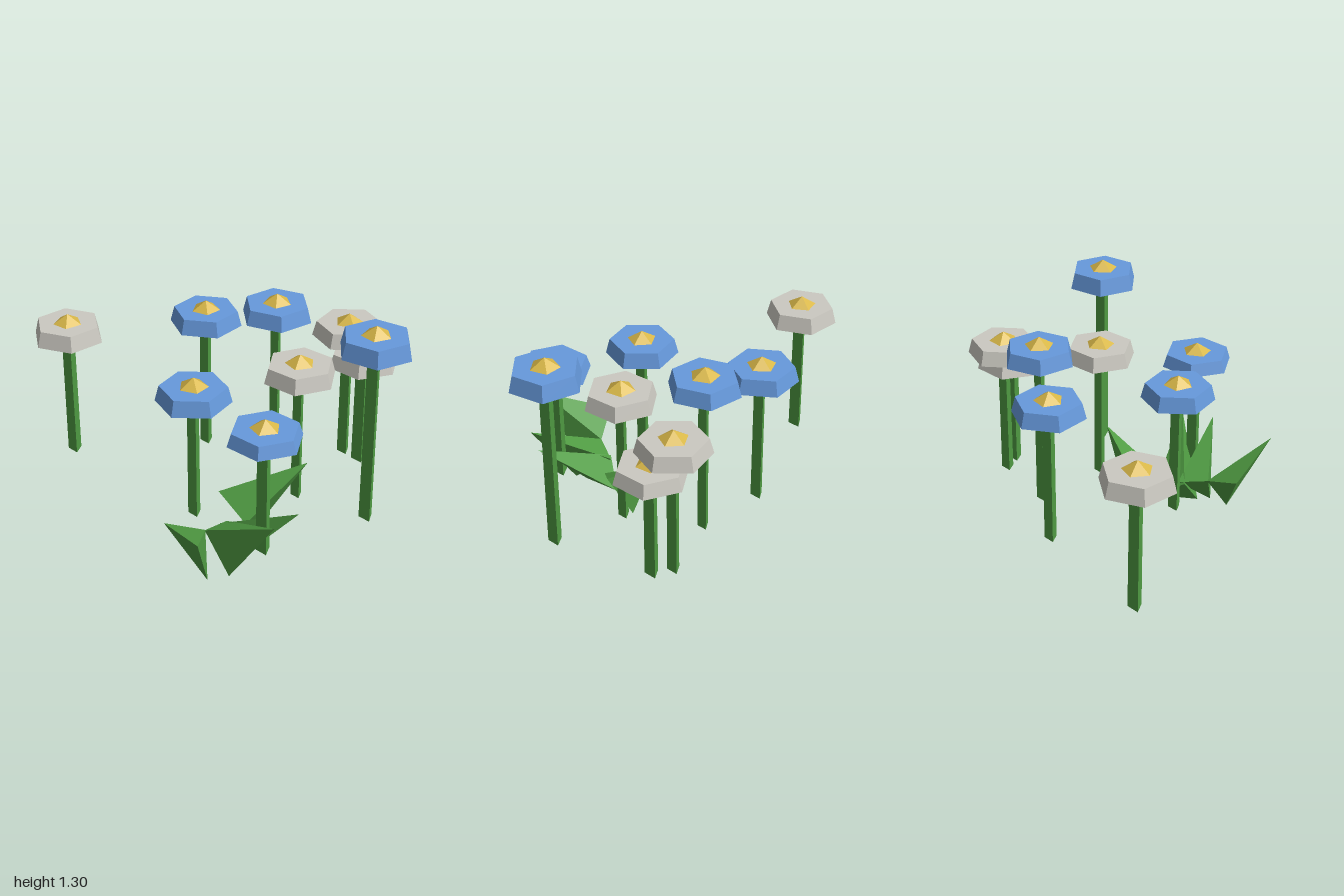
import * as THREE from 'three';
import { ConvexGeometry } from 'three/addons/geometries/ConvexGeometry.js';

function flat(name, color) {
  const m = new THREE.MeshStandardMaterial({ color, flatShading: true });
  m.name = name;
  return m;
}

const STEM_BASE = 0.165;

// x, z, disc bottom, disc top, petal colour, turn in degrees, stem radius
const FLOWERS = [
  [-0.42, -0.82, 0.88, 0.968, 'white', 25, 0.042],
  [0.17, -0.355, 0.92, 1.005, 'blue', 34, 0.038],
  [0.34, 0.015, 1.03, 1.113, 'blue', 20, 0.034],
  [-0.39, 0.125, 0.85, 0.935, 'blue', 42, 0.038],
  [0.115, 0.39, 0.89, 0.973, 'white', 5, 0.034],
  [0.635, 0.275, 0.9, 0.982, 'white', 41, 0.038],
  [0.63, 0.39, 0.778, 0.855, 'white', 2, 0.042],
  [-0.38, 0.615, 0.823, 0.893, 'blue', 3, 0.042],
  [0.216, 0.795, 1.156, 1.246, 'blue', 12, 0.042],
];

// Each leaf: tip, two shoulder corners, root
const LEAVES = [
  [[-0.83, 0.415, 0.6], [-0.71, 0.31, 0.23], [-0.525, 0.23, 0.34], [-0.62, 0.02, 0.45]],
  [[-0.46, 0.41, 0.76], [-0.53, 0.23, 0.34], [-0.36, 0.2, 0.33], [-0.515, 0.015, 0.5]],
  [[-0.28, 0.41, 0.76], [-0.4, 0.2, 0.32], [-0.21, 0.085, 0.34], [-0.45, 0.03, 0.45]],
  [[0.1, 0.415, 0.475], [-0.21, 0.215, 0.12], [-0.28, 0.17, 0.39], [-0.09, 0.0, 0.285]],
];

export function createModel() {
  const model = new THREE.Group();
  model.name = 'flowerPatch';
  const petals = {
    white: flat('petalWhite', 0xcbc9c1),
    blue: flat('petalBlue', 0x6699dc),
  };
  const yellow = flat('centreYellow', 0xd8b748);
  const green = flat('leafGreen', 0x509c43);

  const add = (parent, name, geometry, material, y = 0, turn = 0) => {
    const mesh = new THREE.Mesh(geometry, material);
    mesh.name = name;
    mesh.position.y = y;
    mesh.rotation.y = turn;
    parent.add(mesh);
  };

  for (const [x, z, bottom, top, colour, degrees, r] of FLOWERS) {
    const flower = new THREE.Group();
    flower.name = colour + 'Flower';
    flower.position.set(x, 0, z);
    const turn = THREE.MathUtils.degToRad(degrees);

    // Three-sided stem
    const length = bottom - STEM_BASE;
    add(flower, 'stem', new THREE.CylinderGeometry(r * 0.95, r, length, 3), green,
      STEM_BASE + length / 2, Math.PI / 2);

    // Six-sided petal disc, wider below
    add(flower, 'petals', new THREE.CylinderGeometry(0.176, 0.198, top - bottom, 6),
      petals[colour], (top + bottom) / 2, turn);

    // Five-sided raised centre
    add(flower, 'centre', new THREE.ConeGeometry(0.079, 0.05, 5), yellow, top + 0.025, turn);
    model.add(flower);
  }

  // Faceted leaves
  for (const corners of LEAVES) {
    add(model, 'leaf', new ConvexGeometry(corners.map((c) => new THREE.Vector3(...c))), green);
  }
  return model;
}
